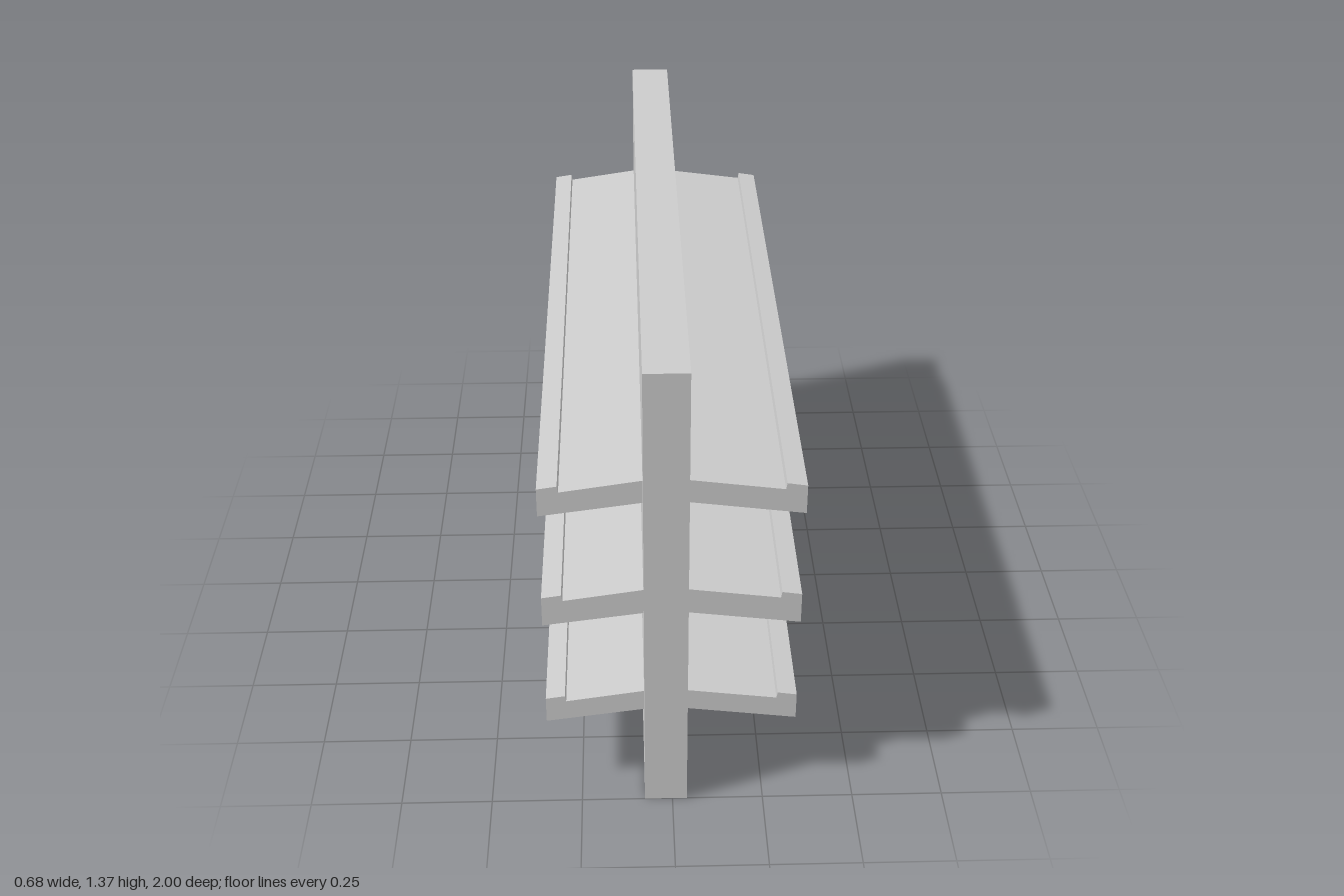
import * as THREE from 'three';

export function createModel() {
  const group = new THREE.Group();
  group.name = 'doubleSidedShelf';
  const material = new THREE.MeshStandardMaterial({ color: 0xcccccc, flatShading: true });

  // Upright centre panel
  const panelLeft = 0.04, panelRight = -0.076, height = 1.373;
  const panel = new THREE.Mesh(new THREE.BoxGeometry(panelLeft - panelRight, height, 2), material);
  panel.position.set((panelLeft + panelRight) / 2, height / 2, 0);
  panel.name = 'centrePanel';
  group.add(panel);

  // Sloping shelf with a raised lip along its outer edge
  const length = 1.888;
  function addShelf(name, inner, lip, outer, top, rootThickness, edgeThickness) {
    const profile = new THREE.Shape([
      [inner, top - rootThickness],
      [outer, top - 0.022 - edgeThickness],
      [outer, top - 0.022],
      [lip, top - 0.014],
      [lip + Math.sign(outer) * -0.003, top - 0.032],
      [inner, top],
    ].map(([x, y]) => new THREE.Vector2(x, y)));
    const geometry = new THREE.ExtrudeGeometry(profile, { depth: length, bevelEnabled: false });
    geometry.translate(0, 0, -length / 2);
    const shelf = new THREE.Mesh(geometry, material);
    shelf.name = name;
    group.add(shelf);
  }

  // Three levels: top height at the panel, thickness at the panel and at the edge
  const levels = [
    ['lower', 0.344, 0.064, 0.081],
    ['middle', 0.688, 0.076, 0.092],
    ['upper', 1.031, 0.067, 0.084],
  ];
  for (const [level, top, root, edge] of levels) {
    addShelf(level + 'LeftShelf', panelLeft, 0.286, 0.338, top, root, edge);
    addShelf(level + 'RightShelf', panelRight, -0.29, -0.342, top, root, edge - 0.002);
  }
  return group;
}
